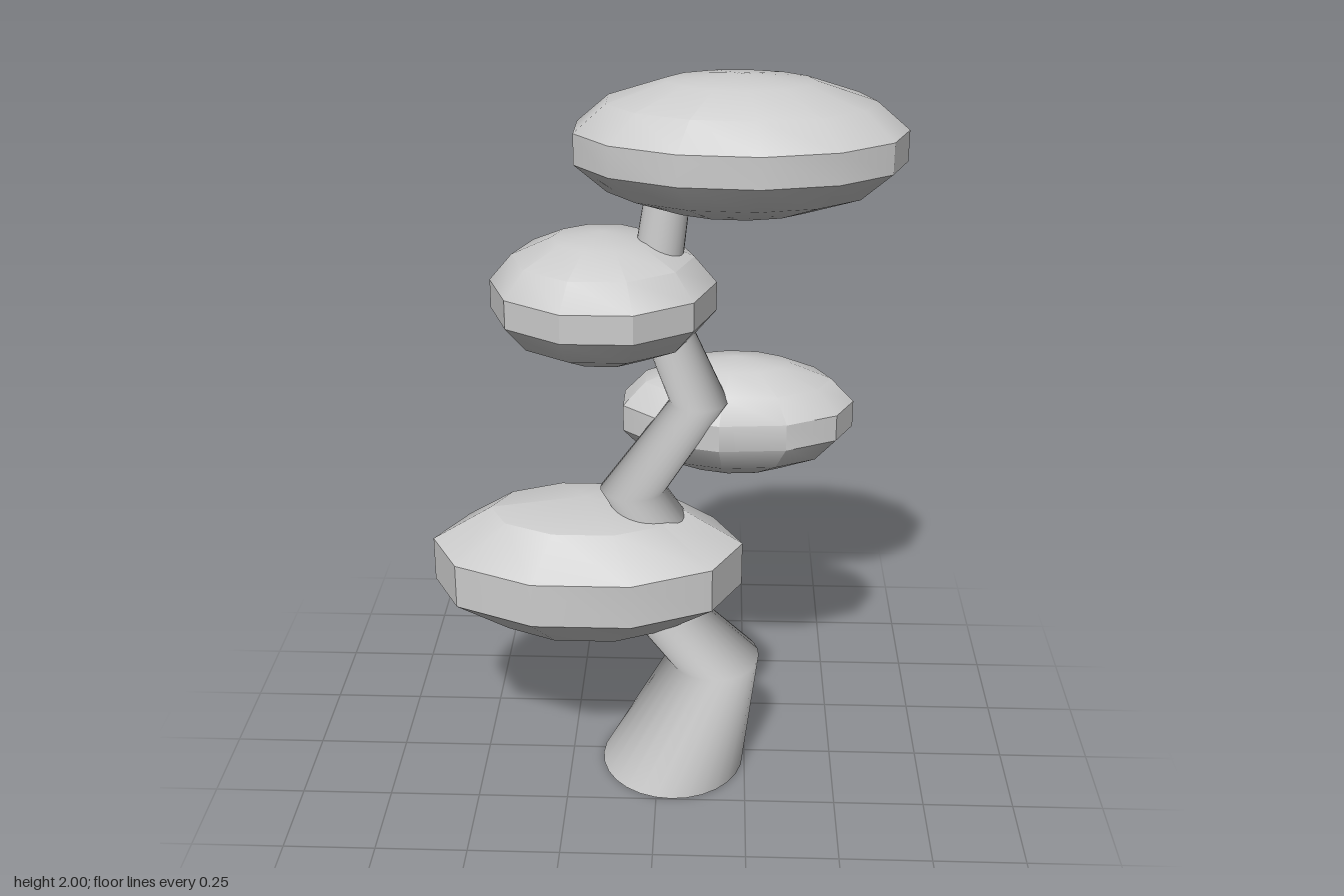
import * as THREE from 'three';
import { toCreasedNormals } from 'three/addons/utils/BufferGeometryUtils.js';

const material = new THREE.MeshStandardMaterial({ color: 0xcccccc });

// Zigzag trunk: level rings, each [x, y, x radius, z radius]
const RINGS = [
  [0.042, 0, 0.203, 0.222],
  [0.157, 0.343, 0.128, 0.147],
  [0.02, 0.49, 0.11, 0.115],
  [0.06, 0.66, 0.1, 0.1],
  [-0.07, 0.866, 0.09, 0.09],
  [0.107, 1.125, 0.078, 0.078],
  [-0.015, 1.42, 0.065, 0.067],
  [0.003, 1.55, 0.063, 0.06],
  [0.04, 1.82, 0.055, 0.055],
];

function makeTrunk() {
  const last = RINGS.length - 1;
  const geo = new THREE.CylinderGeometry(1, 1, last, 28, last);
  const pos = geo.attributes.position;
  for (let i = 0; i < pos.count; i++) {
    const [x, y, rx, rz] = RINGS[Math.round(pos.getY(i) + last / 2)];
    pos.setXYZ(i, x + pos.getX(i) * rx, y, 0.026 + pos.getZ(i) * rz);
  }
  const mesh = new THREE.Mesh(toCreasedNormals(geo, 1.2), material);
  mesh.name = 'trunk';
  return mesh;
}

// Flattened low-poly foliage pads
const PADS = [
  { name: 'lowerFoliage', at: [-0.198, 0.634, 0.0235], radii: [0.452, 0.202, 0.287], sides: 10, rows: 5 },
  { name: 'backFoliage', at: [0.208, 1.034, -0.115], radii: [0.33, 0.165, 0.197], sides: 11, rows: 7 },
  { name: 'upperFoliage', at: [-0.145, 1.42, 0.025], radii: [0.303, 0.172, 0.286], sides: 10, rows: 7 },
  { name: 'crownFoliage', at: [0.201, 1.822, 0.0255], radii: [0.4345, 0.178, 0.2875], sides: 13, rows: 7 },
];

function makePad({ name, at, radii, sides, rows }) {
  const geo = new THREE.SphereGeometry(1, sides, rows);
  geo.rotateY(Math.PI); // a corner points to +x
  geo.scale(...radii);
  const mesh = new THREE.Mesh(toCreasedNormals(geo, Math.PI / 6), material);
  mesh.position.set(...at);
  mesh.name = name;
  return mesh;
}

export function createModel() {
  const group = new THREE.Group();
  group.name = 'bonsaiTree';
  group.add(makeTrunk(), ...PADS.map(makePad));
  return group;
}
